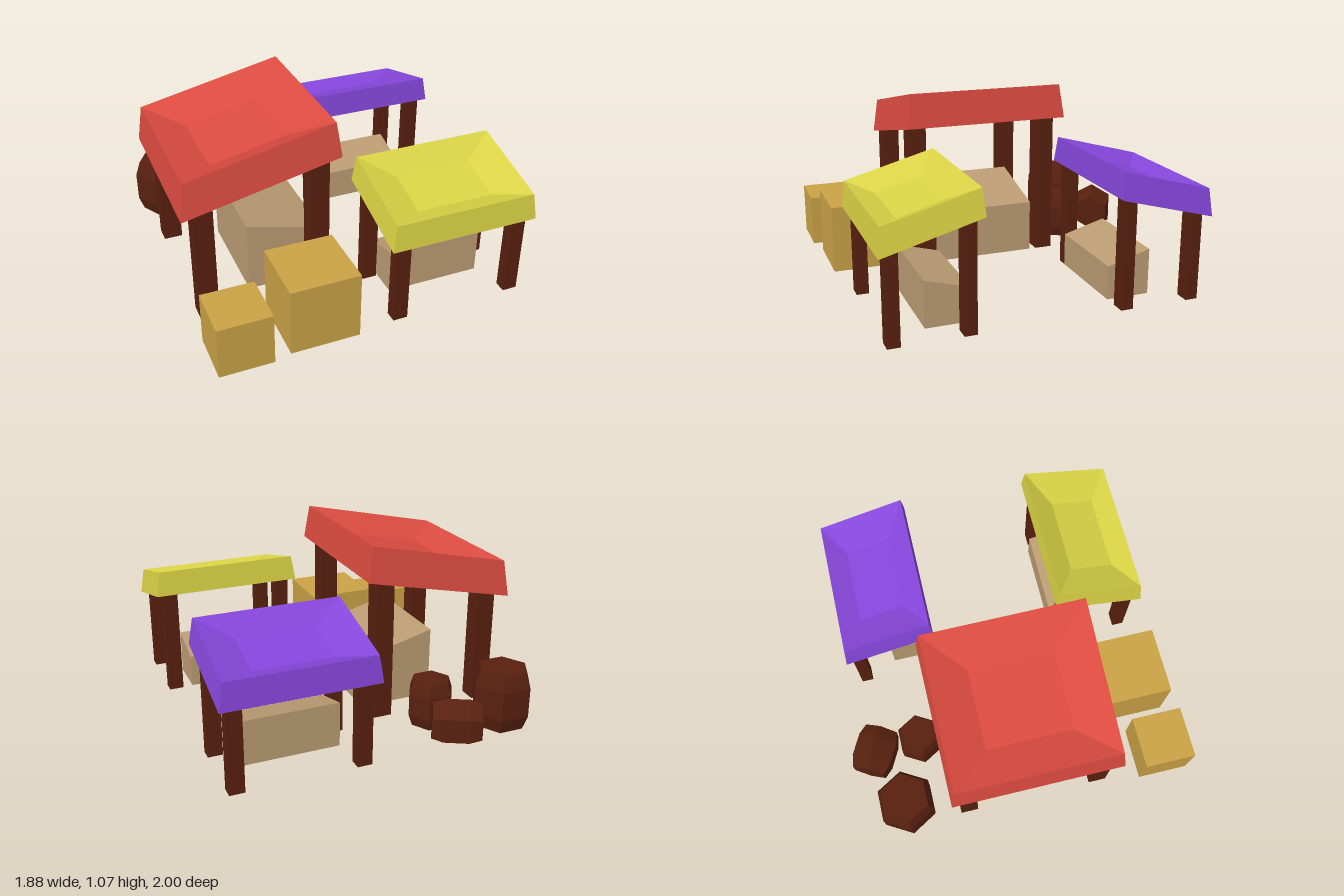
import * as THREE from 'three';

const mat = (name, color, side = THREE.FrontSide) => {
  const m = new THREE.MeshStandardMaterial({ color, side, flatShading: true });
  m.name = name;
  return m;
};

// Awning: tapered skirt, raised rim and sunken middle, sheared to a slope
function awningGeometry({ base, rim, inner, height, sag, slopeX = 0, slopeZ = 0 }) {
  const loop = ([hx, hz], y) => [[-1, 1], [1, 1], [1, -1], [-1, -1]].map(([sx, sz]) => {
    const x = sx * hx, z = sz * hz;
    return [x, y + x * slopeX + z * slopeZ, z];
  });
  const loops = [loop(base, 0), loop(rim, height), loop(inner, height - sag)];
  const points = [];
  const quad = (a, b, c, d) => points.push(...a, ...b, ...c, ...a, ...c, ...d);
  for (let k = 0; k < 2; k++) {
    for (let i = 0; i < 4; i++) {
      const j = (i + 1) % 4;
      quad(loops[k][i], loops[k][j], loops[k + 1][j], loops[k + 1][i]);
    }
  }
  quad(...loops[2]);
  const g = new THREE.BufferGeometry();
  g.setAttribute('position', new THREE.Float32BufferAttribute(points, 3));
  g.computeVertexNormals();
  return g;
}

// Box standing on its base, with an optionally slanted top
function blockGeometry(w, h, d, slopeX = 0, slopeZ = 0) {
  const g = new THREE.BoxGeometry(w, h, d).translate(0, h / 2, 0).toNonIndexed();
  const p = g.attributes.position;
  for (let i = 0; i < p.count; i++) {
    if (p.getY(i) > h / 2) p.setY(i, h + p.getX(i) * slopeX + p.getZ(i) * slopeZ);
  }
  g.computeVertexNormals();
  return g;
}

// Six-sided barrel centred on its middle, corners on the x axis
function barrelGeometry(r, h) {
  const profile = [[0, -0.5], [0.83, -0.5], [1, -0.25], [1, 0.25], [0.83, 0.5], [0, 0.5]]
    .map(([a, b]) => new THREE.Vector2(a * r, b * h));
  const g = new THREE.LatheGeometry(profile, 6, Math.PI / 2).toNonIndexed();
  g.computeVertexNormals();
  return g;
}

export function createModel() {
  const model = new THREE.Group();
  model.name = 'marketStalls';
  const wood = mat('darkWood', 0x58200f);
  const tan = mat('counterWood', 0xbb9c73);
  const gold = mat('crateWood', 0xcaa346);
  const red = mat('redCloth', 0xdb4b40, THREE.DoubleSide);
  const yellow = mat('yellowCloth', 0xd9d245, THREE.DoubleSide);
  const purple = mat('purpleCloth', 0x8546da, THREE.DoubleSide);

  const add = (parent, name, geometry, material, x, y, z) => {
    const mesh = new THREE.Mesh(geometry, material);
    mesh.name = name;
    mesh.position.set(x, y, z);
    parent.add(mesh);
    return mesh;
  };
  const group = (name, x, z) => {
    const g = new THREE.Group();
    g.name = name;
    g.position.set(x, 0, z);
    model.add(g);
    return g;
  };

  // Large stall, roof rising toward +x
  const large = group('largeStall', -0.4925, 0.025);
  add(large, 'awning', awningGeometry({
    base: [0.447, 0.49], rim: [0.42, 0.465], inner: [0.215, 0.245],
    height: 0.206, sag: 0.1, slopeX: 0.22,
  }), red, 0, 0.767, 0);
  for (const sx of [-1, 1]) {
    for (const z of [0.418, -0.393]) {
      add(large, 'post', blockGeometry(0.11, sx < 0 ? 0.8 : 0.94, 0.105), wood, sx * 0.327, 0.015, z);
    }
  }
  add(large, 'counter', blockGeometry(0.445, 0.367, 0.625, -0.258), tan, 0.17, 0.02, 0.018);

  // Two small stalls facing each other, roofs dropping outward
  const smallStall = (name, cloth, z, s) => {
    const stall = group(name, 0.5, z);
    add(stall, 'awning', awningGeometry({
      base: [0.435, 0.27], rim: [0.413, 0.256], inner: [0.225, 0.13],
      height: 0.15, sag: 0.065, slopeZ: -0.272 * s,
    }), cloth, 0, 0.56, 0);
    for (const x of [-0.352, 0.352]) {
      add(stall, 'outerPost', blockGeometry(0.085, 0.58, 0.07), wood, x, 0, 0.2 * s);
      add(stall, 'innerPost', blockGeometry(0.085, 0.69, 0.07), wood, x, 0, -0.2 * s);
    }
    add(stall, 'counter', blockGeometry(0.56, 0.228, 0.25, 0, 0.28 * s), tan, -0.025, 0.01, -0.122 * s);
  };
  smallStall('frontStall', yellow, 0.6625, 1);
  smallStall('backStall', purple, -0.623, -1);

  // Crates
  add(model, 'smallCrate', blockGeometry(0.3, 0.3, 0.3), gold, -0.77, 0.04, 0.85);
  add(model, 'largeCrate', blockGeometry(0.393, 0.393, 0.393), gold, -0.322, 0.028, 0.764);

  // Barrels, the last one lying on its side
  add(model, 'largeBarrel', barrelGeometry(0.175, 0.345), wood, -0.765, 0.182, -0.725);
  add(model, 'smallBarrel', barrelGeometry(0.136, 0.27), wood, -0.392, 0.145, -0.57);
  const fallen = add(model, 'fallenBarrel', barrelGeometry(0.136, 0.27), wood, -0.405, 0.145, -0.85);
  fallen.rotation.set(0, -0.49, Math.PI / 2);

  return model;
}
